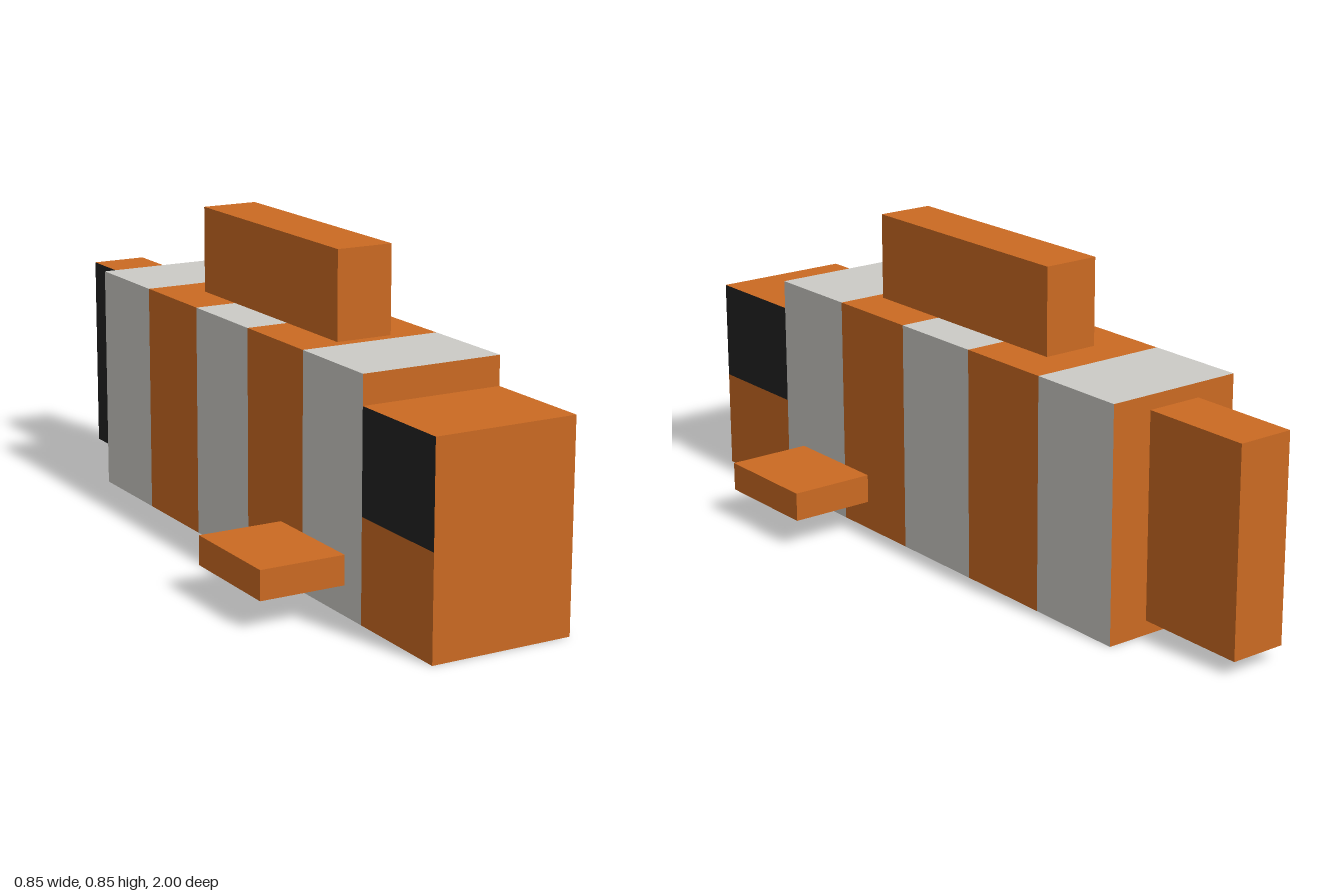
import * as THREE from 'three';

const orange = new THREE.MeshStandardMaterial({ name: 'orange', color: 0xcb6a22 });
const white = new THREE.MeshStandardMaterial({ name: 'white', color: 0xcccbc6 });
const black = new THREE.MeshStandardMaterial({ name: 'black', color: 0x232323 });
const palette = [orange, white, black];

// Box between two corners; pick(i) gives the palette index of quad i
// (quads run in the order +x, -x, +y, -y, +z, -z).
function block(name, [x0, y0, z0], [x1, y1, z1], { rows = 1, slices = 1, pick } = {}) {
  const geometry = new THREE.BoxGeometry(x1 - x0, y1 - y0, z1 - z0, 1, rows, slices);
  if (pick) {
    geometry.clearGroups();
    for (let i = 0; i < geometry.index.count / 6; i++) geometry.addGroup(i * 6, 6, pick(i));
  }
  const mesh = new THREE.Mesh(geometry, pick ? palette : orange);
  mesh.name = name;
  mesh.position.set((x0 + x1) / 2, (y0 + y1) / 2, (z0 + z1) / 2);
  return mesh;
}

export function createModel() {
  const fish = new THREE.Group();
  fish.name = 'fish';

  // Body: five bands on the sides and top, plain belly and ends
  fish.add(block('body', [-0.192, 0, -0.692], [0.192, 0.615, 0.692], {
    slices: 5,
    pick: (i) => (i < 15 && (i % 5) % 2 === 0 ? 1 : 0),
  }));

  // Head: dark eye patch on the upper half of each side
  fish.add(block('head', [-0.192, 0, 0.692], [0.192, 0.538, 1], {
    rows: 2,
    pick: (i) => (i === 0 || i === 2 ? 2 : 0),
  }));

  // Tail fin: dark on its -x face only
  fish.add(block('tailFin', [-0.077, 0.038, -1], [0.077, 0.577, -0.692], {
    pick: (i) => (i === 1 ? 2 : 0),
  }));

  fish.add(block('dorsalFin', [-0.077, 0.615, -0.308], [0.077, 0.846, 0.385]));

  // Side fins
  fish.add(block('leftFin', [0.192, 0.077, 0.308], [0.423, 0.154, 0.615]));
  fish.add(block('rightFin', [-0.423, 0.077, 0.308], [-0.192, 0.154, 0.615]));

  return fish;
}
